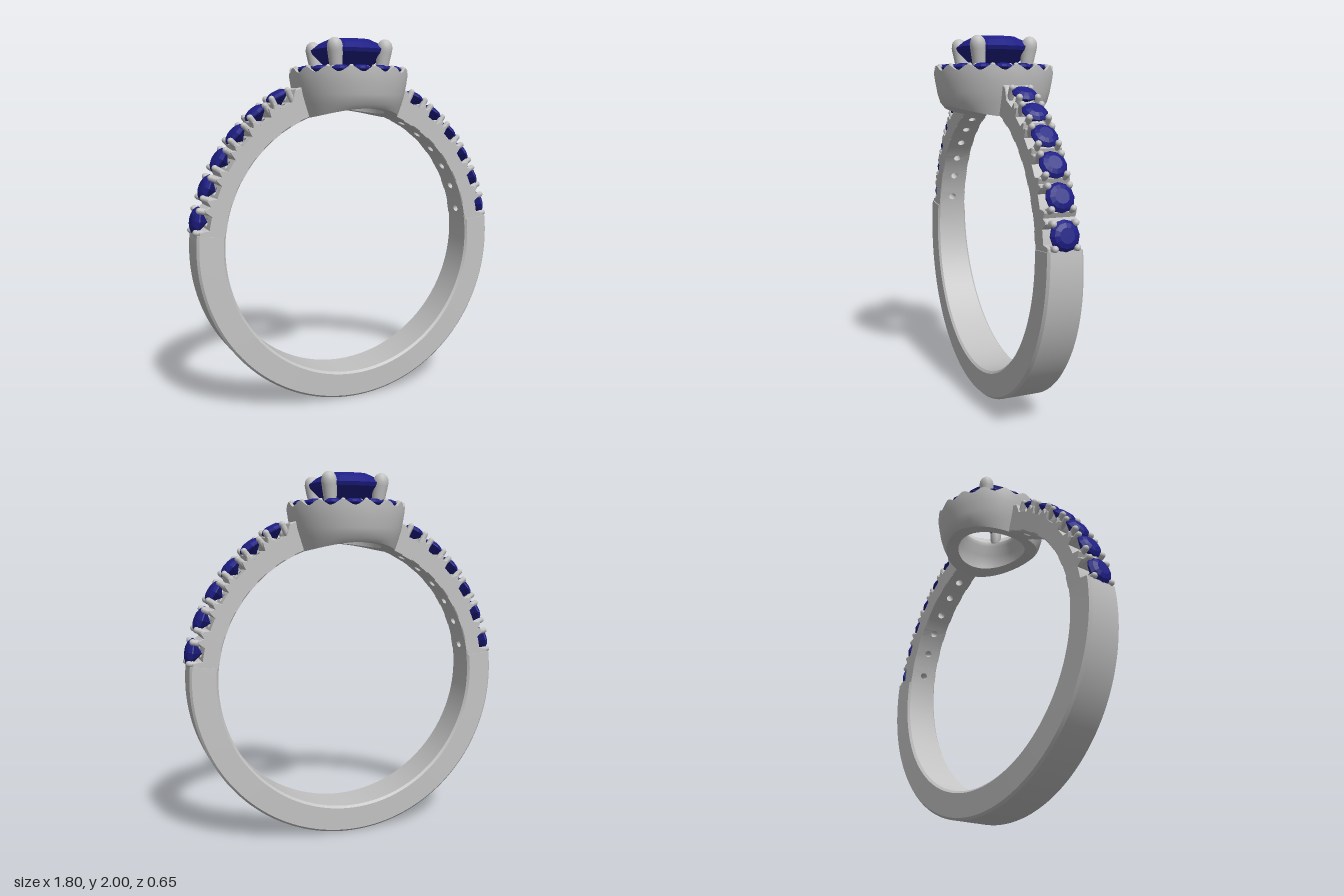
import * as THREE from 'three';
import { toCreasedNormals } from 'three/addons/utils/BufferGeometryUtils.js';

const CY = 0.89, BORE = 0.74, RAD = Math.PI / 180;
const metal = new THREE.MeshStandardMaterial({ color: 0xc2c2c2 });
metal.name = 'silver metal';
const blue = new THREE.MeshStandardMaterial({ color: 0x1e1e86 });
blue.name = 'blue gem';

const lerp = THREE.MathUtils.lerp;
const V2 = (x, y) => new THREE.Vector2(x, y);

function add(parent, name, geometry, material) {
  const mesh = new THREE.Mesh(geometry, material);
  mesh.name = name;
  parent.add(mesh);
  return mesh;
}

// Sweeps a bevelled rectangle around the bore; outer(t) is the outer radius, width(angle) the half width
function bandSweep(a0, a1, n, outer, width, b = 0.012) {
  const pos = [], idx = [], m = 8;
  for (let i = 0; i <= n; i++) {
    const t = i / n, a = lerp(a0, a1, t), R = outer(t), w = width(a);
    const section = [[BORE + b, -w], [R - b, -w], [R, -w + b], [R, w - b],
      [R - b, w], [BORE + b, w], [BORE, w - b], [BORE, -w + b]];
    for (const [r, z] of section) pos.push(r * Math.cos(a), CY + r * Math.sin(a), z);
    if (i === n) break;
    for (let j = 0; j < m; j++) {
      const p = i * m + j, q = i * m + (j + 1) % m;
      idx.push(p, p + m, q + m, p, q + m, q);
    }
  }
  for (let j = 1; j < m - 1; j++) {
    idx.push(0, j, j + 1, n * m, n * m + j + 1, n * m + j);
  }
  const g = new THREE.BufferGeometry();
  g.setAttribute('position', new THREE.Float32BufferAttribute(pos, 3));
  g.setIndex(idx);
  return toCreasedNormals(g, 0.5);
}

// A short piece of band with a drilled hole, bent round the bore
function drilledCell(a, half, floor, width) {
  const low = [], high = [];
  for (let i = 0; i <= 6; i++) {
    const u = lerp(-half, half, i / 6), w = width(a + u);
    low.push(V2(u * 0.8, -w));
    high.unshift(V2(u * 0.8, w));
  }
  const shape = new THREE.Shape([...low, ...high]);
  const hole = new THREE.Path();
  hole.absarc(0, 0, 0.022, 0, Math.PI * 2, true);
  shape.holes.push(hole);
  const g = new THREE.ExtrudeGeometry(shape, { depth: 1, bevelEnabled: false, curveSegments: 8 });
  const p = g.attributes.position;
  for (let i = 0; i < p.count; i++) {
    const ang = a + p.getX(i) / 0.8, r = lerp(BORE, floor, p.getZ(i)), z = p.getY(i);
    p.setXYZ(i, r * Math.cos(ang), CY + r * Math.sin(ang), z);
  }
  return toCreasedNormals(g, 0.6);
}

// Faceted stone from a profile; power above 2 squares off the outline
function gem(points, sides, power = 2) {
  const g = new THREE.LatheGeometry(points.map(([r, y]) => V2(r, y)), sides).toNonIndexed();
  const p = g.attributes.position;
  for (let i = 0; i < p.count; i++) {
    const x = p.getX(i), z = p.getZ(i), r = Math.hypot(x, z);
    if (r < 1e-6) continue;
    const k = 1 / Math.pow(Math.abs(x / r) ** power + Math.abs(z / r) ** power, 1 / power);
    p.setX(i, x * k);
    p.setZ(i, z * k);
  }
  g.computeVertexNormals();
  return g;
}
const roundGem = (r) => gem([[0, -0.8 * r], [r, -0.04 * r], [r, 0.05 * r],
  [0.8 * r, 0.25 * r], [0.5 * r, 0.38 * r], [0, 0.38 * r]], 12);

// One stone-set shoulder, on the +x side
function shoulder() {
  const g = new THREE.Group();
  const stones = [[11, 0.883], [22.5, 0.88], [33, 0.882], [43.2, 0.889], [53.1, 0.897], [62.6, 0.906]]
    .map(([deg, r], i) => ({ a: deg * RAD, r, size: 0.075 - 0.002 * i }));
  const width = (a) => lerp(0.087, 0.073, a / (70 * RAD));
  const half = 0.042, drop = 0.055;

  stones.forEach((s, i) => {
    add(g, 'drilledSeat', drilledCell(s.a, half, s.r - drop, width), metal);

    // Stone with four prongs, local y pointing outward
    const set = new THREE.Group();
    set.name = 'shoulderSetting';
    set.position.set(s.r * Math.cos(s.a), CY + s.r * Math.sin(s.a), 0);
    set.rotation.z = s.a - Math.PI / 2;
    add(set, 'shoulderStone', roundGem(s.size), blue);
    for (const sx of [-1, 1]) for (const sz of [-1, 1]) {
      const prong = add(set, 'shoulderProng', new THREE.CapsuleGeometry(0.017, 0.055, 4, 10), metal);
      prong.position.set(sx * s.size * 0.76, -0.02, sz * s.size * 0.76);
    }
    g.add(set);

    // Notched bridge to the next stone
    const next = stones[i + 1];
    if (next) {
      const outer = (t) => lerp(s.r, next.r, t) - drop
        + 0.042 * Math.min(1, 1.7 * Math.sin(Math.PI * t))
        - 0.02 * Math.max(0, 1 - Math.abs(t - 0.5) / 0.2);
      add(g, 'bridge', bandSweep(s.a + half, next.a - half, 20, outer, width, 0.005), metal);
    }
  });

  // Ends of the row: the step above the plain band and the plate beside the head
  const first = stones[0], last = stones[5];
  const rise = (t) => Math.min(1, 1.6 * Math.sin(t * Math.PI / 2));
  add(g, 'lowerEnd', bandSweep(6.3 * RAD, first.a - half, 10,
    (t) => first.r - drop + 0.05 * rise(1 - t), width, 0.005), metal);
  add(g, 'upperEnd', bandSweep(last.a + half, 72.5 * RAD, 12,
    (t) => last.r - drop + 0.053 * rise(t), width, 0.005), metal);
  return g;
}

// Hollow cup under the stones, its underside cut to the bore and its rim scalloped
function cup() {
  const CUT = 0, RIM = 9;
  const profile = [[0.272, CUT], [0.293, 1.65], [0.308, 1.7], [0.319, 1.76], [0.325, 1.8], [0.326, RIM],
    [0.312, RIM], [0.3, 1.805], [0.232, 1.805], [0.226, 1.835], [0.208, 1.835],
    [0.165, 1.78], [0.165, 1.75], [0.195, 1.7], [0.2, CUT], [0.272, CUT]];
  const g = new THREE.LatheGeometry(profile.map(([r, y]) => V2(r, y)), 128);
  const p = g.attributes.position;
  for (let i = 0; i < p.count; i++) {
    const x = p.getX(i), y = p.getY(i);
    if (y === CUT) p.setY(i, CY + Math.sqrt(BORE * BORE - x * x));
    if (y === RIM) p.setY(i, 1.829 + 0.014 * Math.cos(16 * Math.atan2(p.getZ(i), x)));
  }
  return toCreasedNormals(g, 0.6);
}

function head() {
  const g = new THREE.Group();
  g.name = 'head';
  add(g, 'cup', cup(), metal);

  // Halo of sixteen small stones with beads between them
  for (let k = 0; k < 16; k++) {
    const a = (k + 0.5) * Math.PI / 8, b = k * Math.PI / 8;
    const stone = add(g, 'haloStone', roundGem(0.05), blue);
    stone.position.set(0.27 * Math.cos(a), 1.832, 0.27 * Math.sin(a));
    for (const r of [0.308, 0.232]) {
      const bead = add(g, 'haloBead', new THREE.CapsuleGeometry(0.014, 0.025, 4, 10), metal);
      bead.position.set(r * Math.cos(b), 1.826, r * Math.sin(b));
    }
  }

  // Cushion-shaped centre stone
  add(g, 'centreStone', gem([[0, 1.74], [0.11, 1.845], [0.188, 1.925], [0.195, 1.945],
    [0.155, 1.978], [0.11, 2], [0, 2]], 24, 2.6), blue);

  // Four claws leaning slightly outward
  const claw = [[0, -0.18], [0.03, -0.18], [0.035, -0.09], [0.041, -0.02], [0.042, 0],
    [0.038, 0.02], [0.03, 0.034], [0.016, 0.044], [0, 0.047]].map(([r, y]) => V2(r, y));
  for (let k = 0; k < 4; k++) {
    const arm = new THREE.Group();
    arm.name = 'clawArm';
    arm.rotation.y = Math.PI / 4 + k * Math.PI / 2;
    const mesh = add(arm, 'claw', new THREE.LatheGeometry(claw, 20), metal);
    mesh.position.set(0.208, 1.95, 0);
    mesh.rotation.z = -0.15;
    g.add(arm);
  }
  return g;
}

export function createModel() {
  const model = new THREE.Group();
  model.name = 'ring';

  // Plain lower band, widening toward the bottom
  add(model, 'plainBand', bandSweep(173.5 * RAD, 366.5 * RAD, 120, () => 0.89,
    (a) => 0.12 - 0.028 * (CY + 0.89 * Math.sin(a))), metal);

  for (const side of [0, 1]) {
    const s = shoulder();
    s.name = side ? 'rightShoulder' : 'leftShoulder';
    s.rotation.y = side * Math.PI;
    model.add(s);
  }
  model.add(head());
  return model;
}
